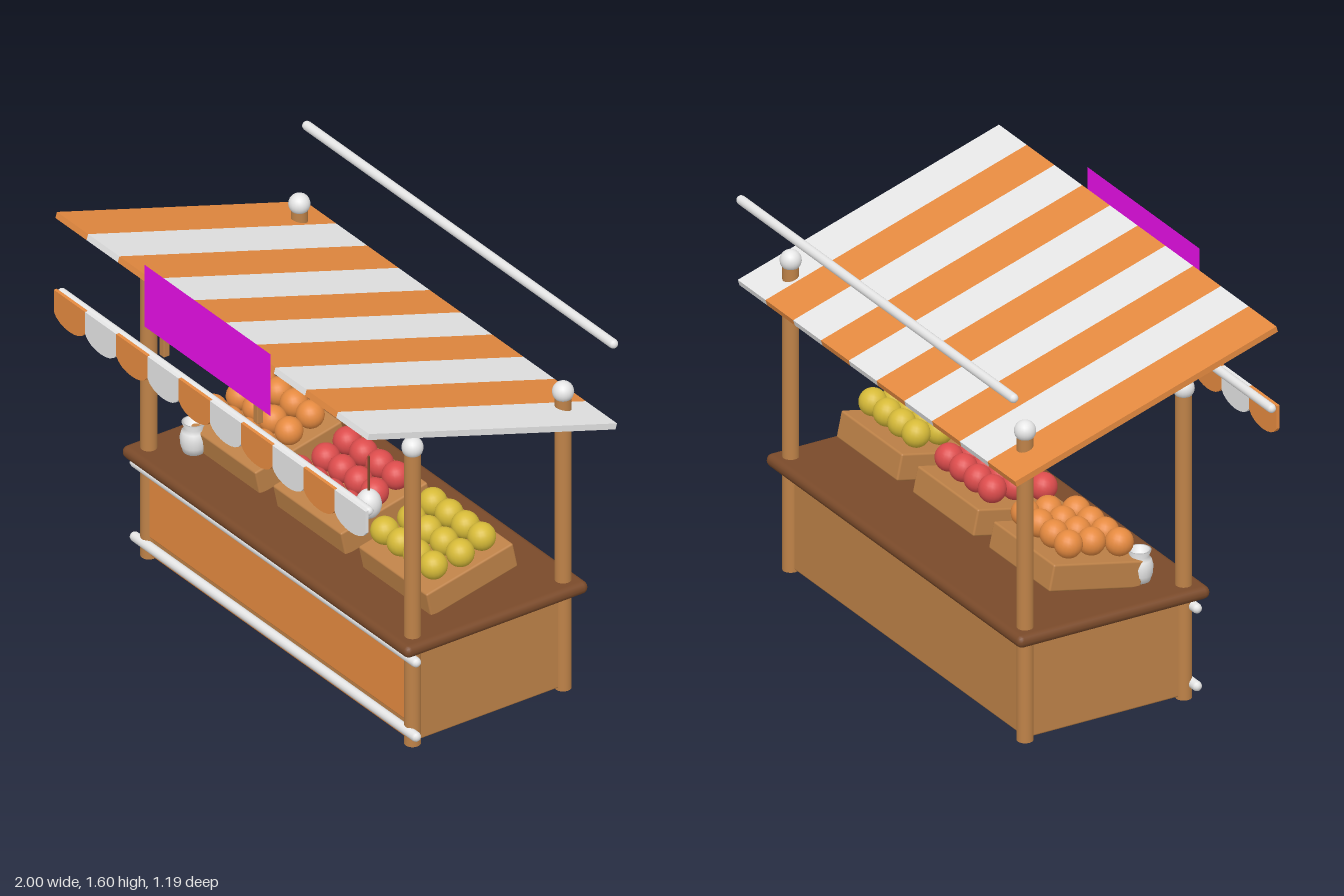
import * as THREE from 'three';
import { RoundedBoxGeometry } from 'three/addons/geometries/RoundedBoxGeometry.js';

const mat = (name, color, side = THREE.FrontSide) => {
  const m = new THREE.MeshStandardMaterial({ color, side });
  m.name = name;
  return m;
};

export function createModel() {
  const root = new THREE.Group();
  root.name = 'marketStall';

  const wood = mat('wood', 0xbe8248);
  const darkWood = mat('darkWood', 0x7a4a2a);
  const orange = mat('orange', 0xe58a40);
  const white = mat('white', 0xe6e6e6, THREE.DoubleSide);
  const red = mat('red', 0xdc4c4c);
  const yellow = mat('yellow', 0xd6ba38);
  const magenta = mat('magenta', 0xec10ec, THREE.DoubleSide);

  const add = (name, geo, material, x, y, z, parent = root) => {
    const mesh = new THREE.Mesh(geo, material);
    mesh.name = name;
    mesh.position.set(x, y, z);
    parent.add(mesh);
    return mesh;
  };
  const box = (w, h, d, r = 0.008) => new RoundedBoxGeometry(w, h, d, 2, r);
  const rod = (name, length, r, y, z) => {
    const geo = new THREE.CapsuleGeometry(r, length - r, 3, 14);
    geo.scale(1, length / (length + r), 1);
    add(name, geo.rotateZ(Math.PI / 2), white, 0, y, z);
  };

  // Counter body, front panel and worktop
  add('counterBody', box(1.71, 0.41, 0.7), wood, 0, 0.215, -0.095);
  add('frontPanel', box(1.66, 0.27, 0.04), orange, 0, 0.228, 0.25);
  add('basePlinth', box(1.66, 0.035, 0.04), orange, 0, 0.03, 0.245);
  add('worktop', box(1.84, 0.052, 0.845, 0.025), darkWood, 0, 0.446, -0.09);

  // Corner posts with ball finials
  for (const x of [-0.845, 0.845]) {
    for (const z of [0.254, -0.442]) {
      add('post', new THREE.CylinderGeometry(0.032, 0.032, 1.28, 20), wood, x, 0.64, z);
      add('finial', new THREE.SphereGeometry(0.042, 20, 14), white, x, 1.293, z);
    }
  }

  // Horizontal rails
  rod('lowerRail', 1.84, 0.02, 0.063, 0.278);
  rod('upperRail', 1.84, 0.02, 0.388, 0.278);
  rod('valanceRod', 2, 0.018, 1.187, 0.556);
  rod('rearRod', 2, 0.019, 1.52, -0.576);

  // Sloping striped awning
  const awning = new THREE.Group();
  awning.name = 'awning';
  awning.position.set(0, 1.345, -0.003);
  awning.rotation.x = -0.3;
  root.add(awning);

  // Scalloped valance flap
  const flap = new THREE.Shape();
  flap.moveTo(-0.099, 0);
  flap.lineTo(-0.099, -0.095);
  flap.bezierCurveTo(-0.07, -0.15, 0.07, -0.15, 0.099, -0.095);
  flap.lineTo(0.099, 0);
  flap.closePath();
  const flapGeo = new THREE.ExtrudeGeometry(flap, { depth: 0.014, bevelEnabled: false, curveSegments: 8 });

  for (let i = 0; i < 10; i++) {
    const x = -0.9 + i * 0.2;
    const stripe = i % 2 ? white : orange;
    add('awningStripe', new THREE.BoxGeometry(0.2, 0.025, 1.2), stripe, x, 0, 0, awning);
    add('valanceFlap', flapGeo, stripe, x, 1.2, 0.568);
  }

  // Sign board on two hangers
  add('signBoard', new THREE.PlaneGeometry(0.805, 0.27), magenta, 0, 1.467, 0.592);
  for (const x of [-0.3, 0.3]) {
    add('signHanger', box(0.03, 0.25, 0.028, 0.004), wood, x, 1.375, 0.574);
  }

  // Hanging lamp
  add('lampCord', new THREE.CylinderGeometry(0.005, 0.005, 0.165, 8), darkWood, 0.7, 1.134, 0.352);
  const lamp = add('lamp', new THREE.SphereGeometry(0.05, 20, 16), white, 0.7, 1.01, 0.352);
  lamp.scale.y = 1.2;

  // Tilted crates, each with three rows of fruit
  const fruitGeo = new THREE.SphereGeometry(0.055, 20, 14);
  [orange, red, yellow].forEach((fruitMat, i) => {
    const crate = new THREE.Group();
    crate.name = 'fruitCrate';
    crate.position.set((i - 1) * 0.549, 0.556, -0.078);
    crate.rotation.x = 0.21;
    root.add(crate);
    add('crate', box(0.44, 0.11, 0.41), wood, 0, 0, 0, crate);
    for (let row = 0; row < 3; row++) {
      for (let col = 0; col < 4; col++) {
        const x = (col - 1.5) * 0.104 + (row === 1 ? 0.018 : 0);
        add('fruit', fruitGeo, fruitMat, x, 0.111, (1 - row) * 0.114, crate);
      }
    }
  });

  // Jug on the worktop
  const jug = [[0, 0], [0.04, 0], [0.05, 0.03], [0.053, 0.065], [0.046, 0.09], [0.036, 0.103],
    [0.046, 0.128], [0.038, 0.128], [0.03, 0.1], [0, 0.09]].map(p => new THREE.Vector2(...p));
  add('jug', new THREE.LatheGeometry(jug, 20), white, -0.727, 0.471, 0.132);

  return root;
}
